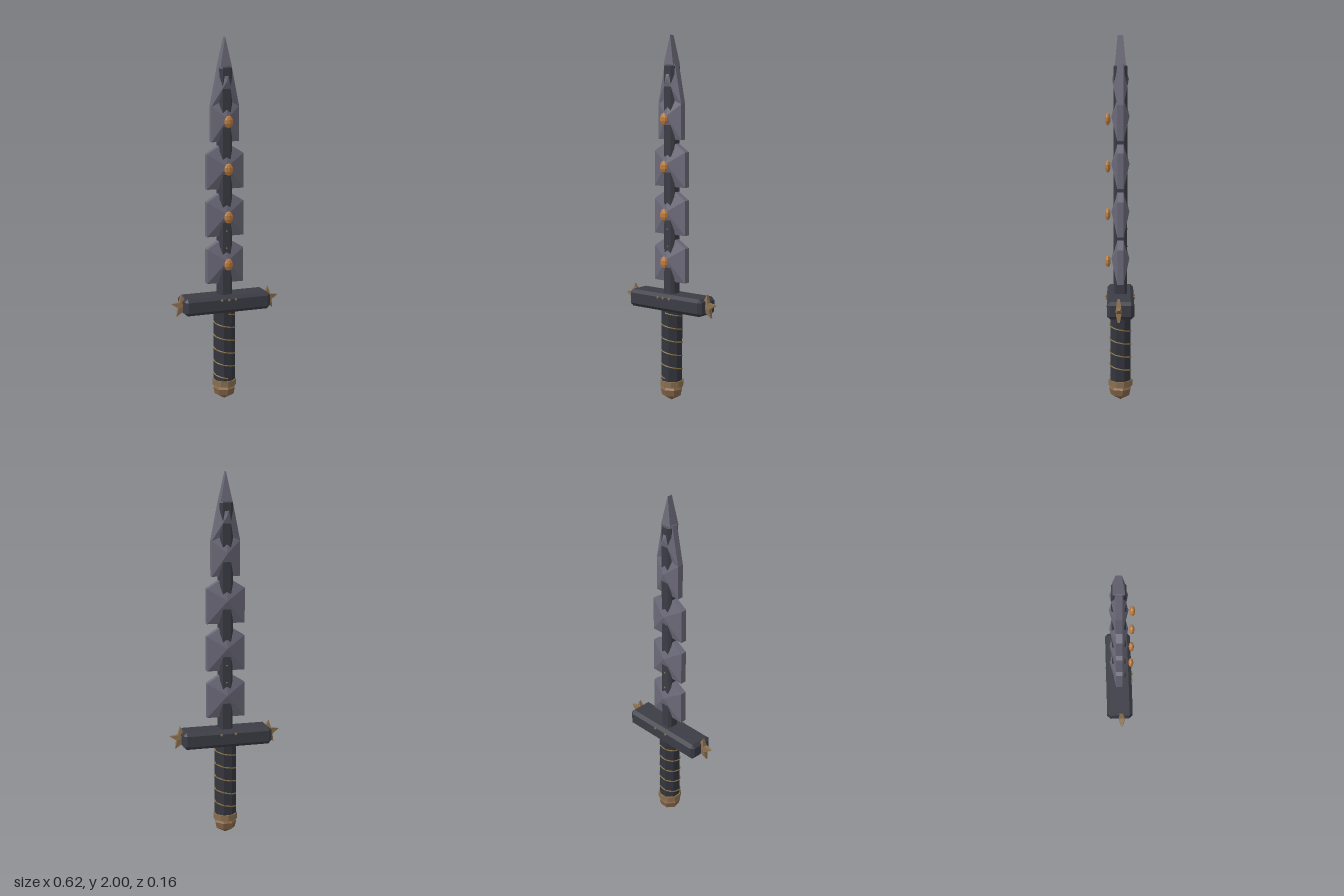
import * as THREE from 'three';
import { ConvexGeometry } from 'three/addons/geometries/ConvexGeometry.js';

const flat = (name, color) => {
  const m = new THREE.MeshStandardMaterial({ color, flatShading: true });
  m.name = name;
  return m;
};

// Box with every edge and corner cut; w, h, d are half sizes
function chamferBox(w, h, d, c) {
  const pts = [];
  for (const x of [-1, 1]) for (const y of [-1, 1]) for (const z of [-1, 1]) {
    pts.push(new THREE.Vector3(x * w, y * (h - c), z * (d - c)));
    pts.push(new THREE.Vector3(x * (w - c), y * h, z * (d - c)));
    pts.push(new THREE.Vector3(x * (w - c), y * (h - c), z * d));
  }
  return new ConvexGeometry(pts);
}

// Plate with a raised point on front and back; outline is counter-clockwise [x, y, half thickness]
function peakedPlate(outline, px, py, pz) {
  const v = [];
  outline.forEach((a, i) => {
    const b = outline[(i + 1) % outline.length];
    const af = [a[0], a[1], a[2]], ab = [a[0], a[1], -a[2]];
    const bf = [b[0], b[1], b[2]], bb = [b[0], b[1], -b[2]];
    v.push(...af, ...bf, px, py, pz, ...bb, ...ab, px, py, -pz);
    v.push(...af, ...ab, ...bb, ...af, ...bb, ...bf);
  });
  const g = new THREE.BufferGeometry();
  g.setAttribute('position', new THREE.Float32BufferAttribute(v, 3));
  g.computeVertexNormals();
  return g;
}

export function createModel() {
  const iron = flat('dark iron', 0x3c3c46);
  const leather = flat('dark leather', 0x34363e);
  const steel = flat('blade steel', 0x6c6a79);
  const bronze = flat('bronze', 0x8a7050);
  const brown = flat('pommel brown', 0x866547);
  const wire = flat('wrap wire', 0x85703f);
  const amber = flat('amber', 0xbd7d3f);

  const sword = new THREE.Group();
  sword.name = 'sword';
  const add = (name, geo, mat, x = 0, y = 0, z = 0) => {
    const m = new THREE.Mesh(geo, mat);
    m.name = name;
    m.position.set(x, y, z - 0.004);
    sword.add(m);
    return m;
  };

  // Pommel and its collar
  const profile = [[0, 0], [0.054, 0.03], [0.062, 0.065], [0.045, 0.09]].map(p => new THREE.Vector2(...p));
  add('pommel', new THREE.LatheGeometry(profile, 7), brown);
  add('pommelCollar', new THREE.CylinderGeometry(0.066, 0.066, 0.034, 10), bronze, 0, 0.098);

  // Eight-sided grip with a spiral of wire
  const grip = new THREE.CylinderGeometry(0.06, 0.06, 0.42, 8);
  grip.rotateY(Math.PI / 8);
  add('grip', grip, leather, 0, 0.31);
  const spiral = [];
  for (let i = 0; i <= 80; i++) {
    const t = i / 16 * Math.PI * 2;
    spiral.push(new THREE.Vector3(0.058 * Math.sin(t), 0.5 - 0.37 * i / 80, 0.058 * Math.cos(t)));
  }
  add('gripWire', new THREE.TubeGeometry(new THREE.CatmullRomCurve3(spiral), 160, 0.004, 5), wire);

  // Crossguard
  add('guard', chamferBox(0.25, 0.0475, 0.073, 0.018), iron, 0, 0.5575);

  // Five-pointed stars on the guard ends
  for (const s of [-1, 1]) {
    const star = [];
    for (let i = 0; i < 10; i++) {
      const a = THREE.MathUtils.degToRad(90 - s * 5 + i * 36);
      const r = i % 2 ? 0.028 : 0.067;
      star.push([r * Math.cos(a), r * Math.sin(a), i % 2 ? 0.014 : 0.006]);
    }
    add(s > 0 ? 'leftGuardStar' : 'rightGuardStar', peakedPlate(star, 0, 0, 0.017), bronze, s * 0.247, 0.56, 0.01);
  }

  // Small studs on the guard and lower spine
  const stud = new THREE.SphereGeometry(1, 6, 4);
  const addStud = (x, y, z, r) => add('stud', stud, bronze, x, y, z).scale.set(r, r, 0.005);
  for (const z of [-0.075, 0.075]) for (const x of [-0.04, 0.04]) addStud(x, 0.584, z, 0.008);
  addStud(0, 0.584, 0.079, 0.008);
  for (const z of [-0.037, 0.037]) for (const y of [0.865, 0.96]) addStud(0, y, z, 0.005);

  // Spine of the blade
  add('spine', chamferBox(0.036, 0.635, 0.037, 0.014), iron, 0, 1.215);

  // Blade sections with shouldered tops, and an amber stone before each
  const stone = new THREE.SphereGeometry(1, 8, 5);
  const e = 0.017;
  [[0.67, 0.105], [0.93, 0.105], [1.19, 0.105], [1.445, 0.078]].forEach(([y, w]) => {
    const outline = [[-w, 0, e], [w, 0, e], [w, 0.19, e], [0, 0.255, e], [-w, 0.19, e]];
    add('bladeSection', peakedPlate(outline, 0, 0.125, 0.049), steel, 0, y);
    add('stone', stone, amber, 0, y + 0.111, 0.068).scale.set(0.025, 0.034, 0.015);
  });

  // Tapering upper section
  const upper = [[-0.078, 1.635, e], [0.078, 1.635, e], [0.035, 1.85, e], [-0.035, 1.85, e]];
  add('upperBladeSection', peakedPlate(upper, 0, 1.77, 0.046), steel);

  // Point: a block whose top closes to a short ridge
  const tip = new THREE.BoxGeometry(0.066, 0.16, 0.06).toNonIndexed();
  const p = tip.attributes.position;
  for (let i = 0; i < p.count; i++) if (p.getY(i) > 0) p.setXYZ(i, 0, p.getY(i), p.getZ(i) * 0.48);
  tip.computeVertexNormals();
  add('bladeTip', tip, steel, 0, 1.92);

  return sword;
}
